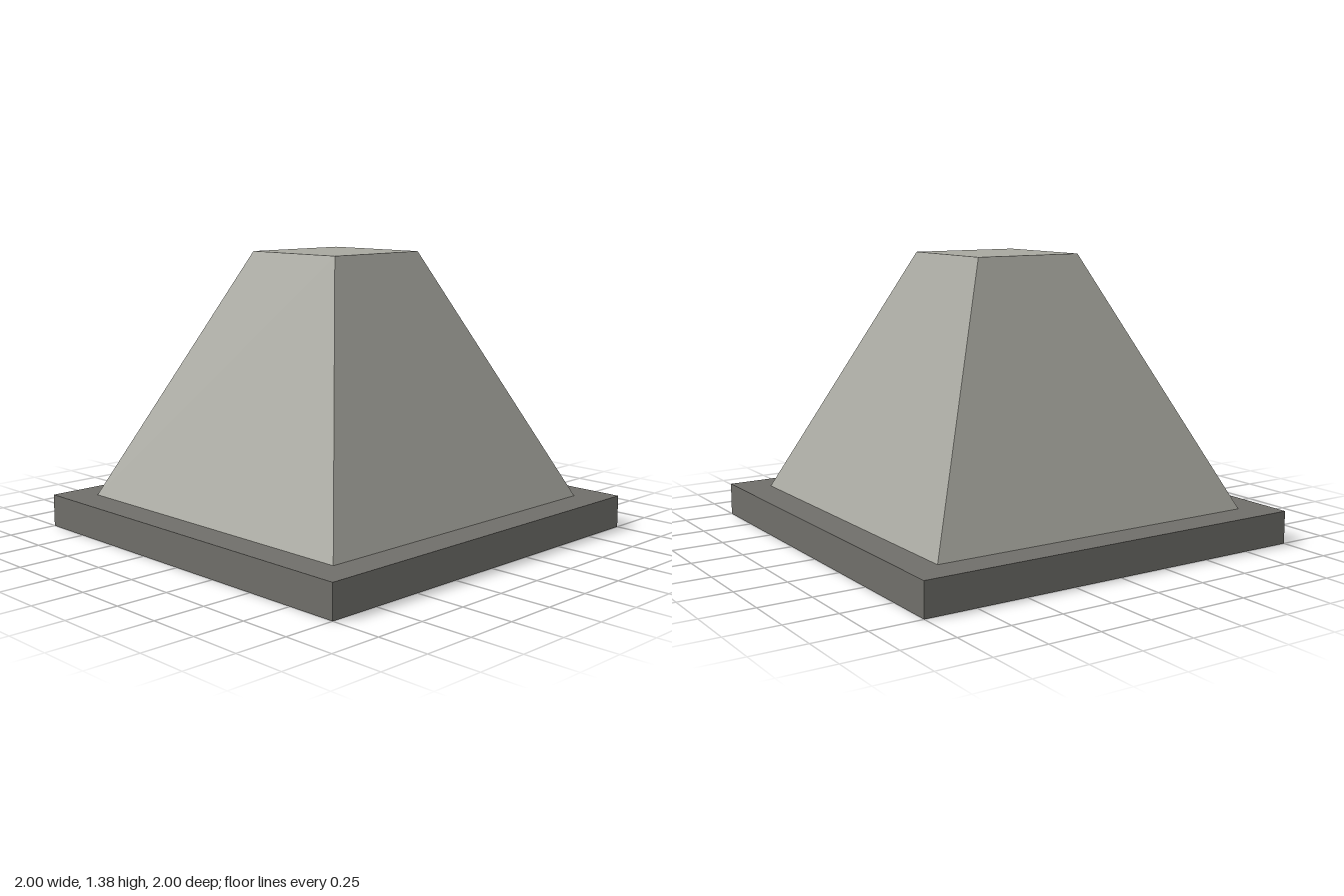
import * as THREE from 'three';

const paleStone = new THREE.MeshStandardMaterial({ color: 0xa8a8a0, flatShading: true, side: THREE.DoubleSide });
const darkStone = new THREE.MeshStandardMaterial({ color: 0x706f6a, flatShading: true, side: THREE.DoubleSide });

// Square tapered shell with a lid and an open underside
function squareShell(name, topHalf, bottomHalf, y0, y1, material) {
  const group = new THREE.Group();
  group.name = name;

  const walls = new THREE.CylinderGeometry(topHalf * Math.SQRT2, bottomHalf * Math.SQRT2, y1 - y0, 4, 1, true);
  walls.rotateY(Math.PI / 4).translate(0, (y0 + y1) / 2, 0);
  const wallMesh = new THREE.Mesh(walls, material);
  wallMesh.name = name + 'Walls';

  const lid = new THREE.PlaneGeometry(topHalf * 2, topHalf * 2);
  lid.rotateX(-Math.PI / 2).translate(0, y1, 0);
  const lidMesh = new THREE.Mesh(lid, material);
  lidMesh.name = name + 'Top';

  group.add(wallMesh, lidMesh);
  return group;
}

export function createModel() {
  const model = new THREE.Group();
  model.name = 'truncatedPyramidOnPlinth';

  // Shallow hollow plinth
  model.add(squareShell('plinth', 1, 1, 0, 0.16, darkStone));
  // Tapered block standing on it
  model.add(squareShell('taperedBlock', 0.282, 0.844, 0.16, 1.378, paleStone));

  return model;
}
